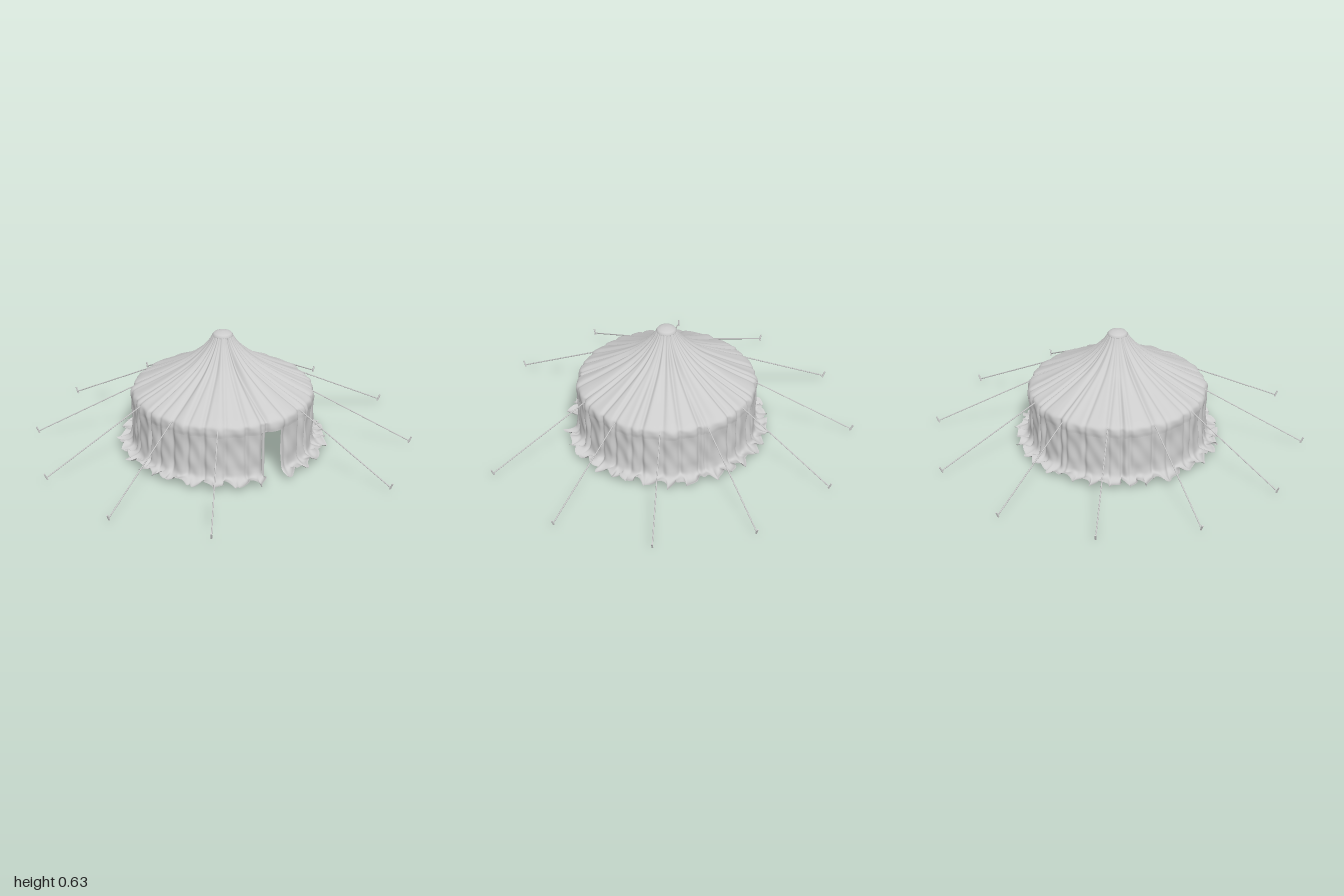
import * as THREE from 'three';
import { mergeVertices } from 'three/addons/utils/BufferGeometryUtils.js';

const TAU = Math.PI * 2;
const cloth = new THREE.MeshStandardMaterial({ color: 0xcccccc, side: THREE.DoubleSide });
const solid = new THREE.MeshStandardMaterial({ color: 0xcccccc });

// Small seeded generator for the irregular pleats
let seed = 7;
const rand = () => (seed = (seed * 16807) % 2147483647) / 2147483647;
const pleats = Array.from({ length: 34 }, (_, i) => ({
  angle: ((i + 0.5 + (rand() - 0.5) * 0.8) / 34) * TAU,
  depth: 0.006 + rand() * 0.012,
}));

// Depth of the fabric folds at an angle, for a given radius
function fold(a, r) {
  const w = Math.min(0.06, 0.011 / r);
  let d = 0;
  for (const p of pleats) {
    const off = Math.atan2(Math.sin(a - p.angle), Math.cos(a - p.angle)) / w;
    d += p.depth * Math.exp(-off * off);
  }
  return d + 0.003 * Math.sin(17 * a + 1) + 0.002 * Math.sin(29 * a);
}

// Revolved profile (bottom to top) pushed into folds, wrinkles and a ruffled hem
function fabric(profile, rows, segments, start = 0, length = TAU) {
  const curve = new THREE.CatmullRomCurve3(profile.map(([r, y]) => new THREE.Vector3(r, y, 0)), false, 'centripetal');
  const points = curve.getPoints(rows).map(p => new THREE.Vector2(p.x, p.y));
  let geo = new THREE.LatheGeometry(points, segments, start, length);
  const pos = geo.attributes.position;
  for (let i = 0; i < pos.count; i++) {
    let r = Math.hypot(pos.getX(i), pos.getZ(i));
    let a = Math.atan2(pos.getX(i), pos.getZ(i));
    let y = pos.getY(i);
    const d = fold(a, r);
    const roof = THREE.MathUtils.smoothstep(y, 0.295, 0.34);
    const fade = THREE.MathUtils.clamp((r - 0.04) / 0.1, 0.25, 1);
    const hem = y < 0.09 ? THREE.MathUtils.clamp((r - 0.472) / 0.06, 0, 1) : 0;
    const wall = 1 - roof;
    // wall wrinkles
    r += wall * (0.004 * Math.sin(y * 38 + 11 * a) * Math.sin(23 * a + y * 9));
    r -= d * (wall + roof * 0.15);
    y -= d * roof * fade * 0.85;
    // ruffled hem
    const wave = 31 * a + 1.3 * Math.sin(5 * a) + 0.9 * Math.sin(11 * a);
    r += hem * (0.012 * Math.sin(wave) + 0.007 * Math.sin(53 * a + 2) - 0.002);
    y += hem * (0.012 * Math.sin(wave + 1.2 + hem * 2) + 0.005 * Math.sin(71 * a));
    a += hem * 0.018 * Math.sin(wave * 2 + 0.7);
    pos.setXYZ(i, r * Math.sin(a), Math.max(y, 0.014), r * Math.cos(a));
  }
  geo.deleteAttribute('uv');
  geo.deleteAttribute('normal');
  geo = mergeVertices(geo, 1e-5);
  geo.computeVertexNormals();
  return geo;
}

function rod(from, to, radius, sides = 8) {
  const dir = to.clone().sub(from);
  const geo = new THREE.CylinderGeometry(radius, radius, dir.length(), sides);
  geo.applyQuaternion(new THREE.Quaternion().setFromUnitVectors(new THREE.Vector3(0, 1, 0), dir.normalize()));
  const mid = from.clone().add(to).multiplyScalar(0.5);
  return geo.translate(mid.x, mid.y, mid.z);
}

export function createModel() {
  const model = new THREE.Group();
  model.name = 'roundTent';
  const tent = new THREE.Group();
  tent.name = 'tent';
  tent.position.z = 0.065;
  model.add(tent);
  const add = (name, geo, mat = solid) => {
    const mesh = new THREE.Mesh(geo, mat);
    mesh.name = name;
    tent.add(mesh);
    return mesh;
  };
  const polar = (a, r, y) => new THREE.Vector3(r * Math.sin(a), y, r * Math.cos(a));

  // Roof with a short valance around the eave
  add('roof', fabric([
    [0.472, 0.26], [0.474, 0.285], [0.468, 0.31], [0.445, 0.328], [0.38, 0.36], [0.28, 0.412],
    [0.19, 0.465], [0.12, 0.522], [0.075, 0.572], [0.052, 0.61],
  ], 40, 540), cloth);

  // Wall curtain, open at the doorway, with the hem spread on the ground
  const doorStart = -0.04, doorEnd = 0.18;
  add('wall', fabric([
    [0.54, 0.032], [0.52, 0.028], [0.498, 0.03], [0.482, 0.042], [0.474, 0.07],
    [0.472, 0.12], [0.47, 0.2], [0.472, 0.262],
  ], 34, 540, doorEnd, TAU - (doorEnd - doorStart)), cloth);

  // Cap over the peak
  const cap = [[0, 0.592], [0.044, 0.592], [0.052, 0.6], [0.053, 0.61], [0.045, 0.62], [0.026, 0.627], [0, 0.629]];
  add('cap', new THREE.LatheGeometry(cap.map(p => new THREE.Vector2(...p)), 32));

  // Frame: centre pole, ring and wall poles
  add('centrePole', rod(polar(0, 0, 0), polar(0, 0, 0.6), 0.011, 12));
  const ring = new THREE.TorusGeometry(0.442, 0.007, 8, 72).rotateX(Math.PI / 2).translate(0, 0.255, 0);
  add('frameRing', ring);
  for (let i = 0; i < 12; i++) {
    const a = (i / 12) * TAU;
    add('wallPole', rod(polar(a, 0.442, 0), polar(a, 0.442, 0.26), 0.008));
    if (i === 0) continue; // no guy rope across the doorway
    add('guyRope', rod(polar(a, 0.45, 0.312), polar(a, 0.986, 0.022), 0.0032, 6));
    add('peg', rod(polar(a, 0.98, 0.012), polar(a, 0.995, 0.046), 0.0045, 6));
  }
  return model;
}
